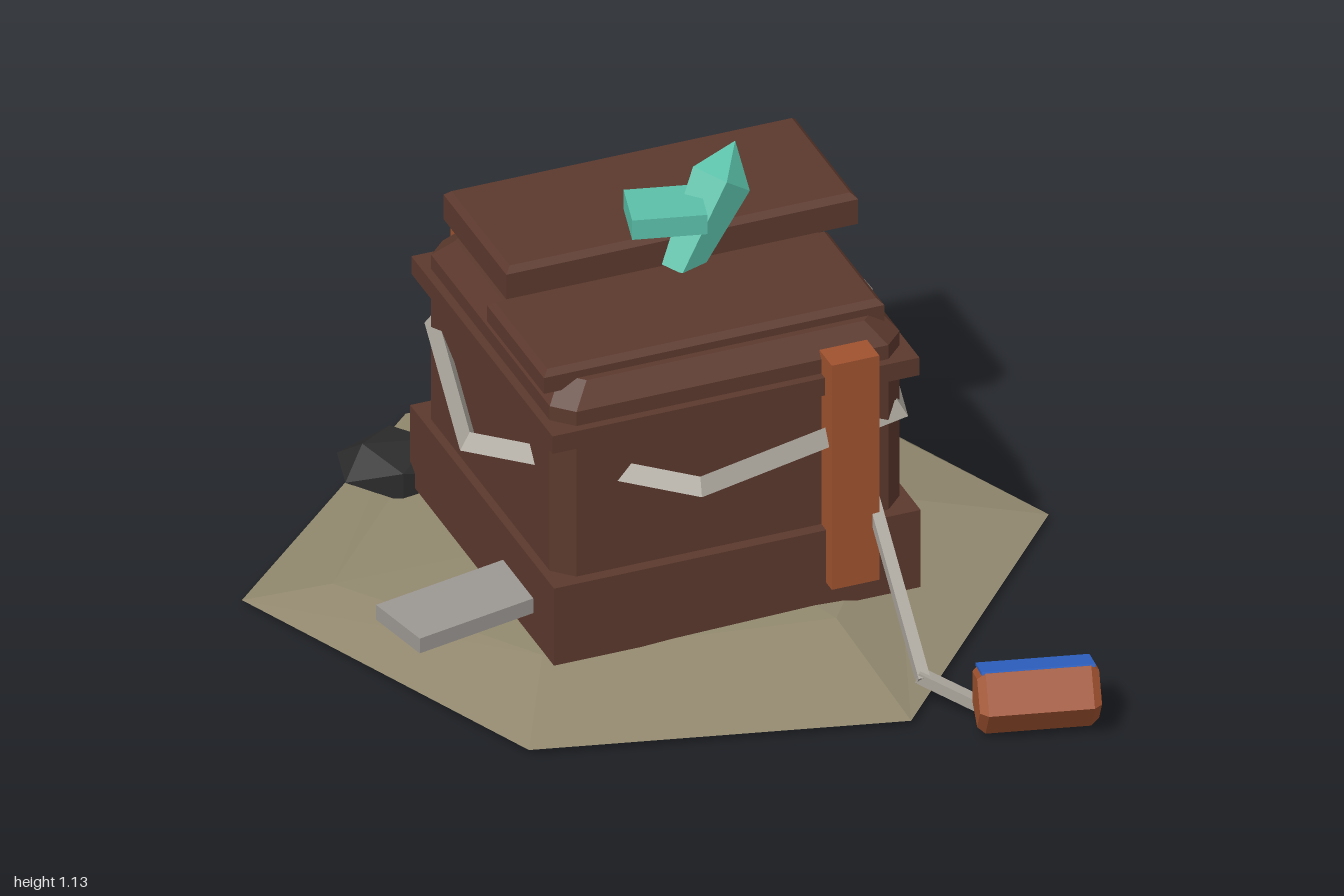
import * as THREE from 'three';

const mat = (name, color, extra = {}) => {
  const m = new THREE.MeshStandardMaterial({ color, flatShading: true, ...extra });
  m.name = name;
  return m;
};

// Stack of rectangular rings with cut corners; levels are [y, inset] from bottom to top
function loft(w, d, cut, levels) {
  const pos = [], idx = [];
  const ring = (inset) => {
    const x = w / 2 - inset, z = d / 2 - inset, c = cut;
    return c
      ? [[x - c, z], [x, z - c], [x, -z + c], [x - c, -z], [-x + c, -z], [-x, -z + c], [-x, z - c], [-x + c, z]]
      : [[x, z], [x, -z], [-x, -z], [-x, z]];
  };
  const n = cut ? 8 : 4;
  levels.forEach(([y, inset]) => ring(inset).forEach(([x, z]) => pos.push(x, y, z)));
  for (let k = 0; k < levels.length - 1; k++)
    for (let i = 0; i < n; i++) {
      const a = k * n + i, b = k * n + (i + 1) % n;
      idx.push(a, b, b + n, a, b + n, a + n);
    }
  const top = (levels.length - 1) * n;
  for (let i = 1; i < n - 1; i++) idx.push(0, i + 1, i, top, top + i, top + i + 1);
  return solid(pos, idx);
}

function solid(pos, idx) {
  const g = new THREE.BufferGeometry();
  g.setAttribute('position', new THREE.Float32BufferAttribute(pos, 3));
  g.setIndex(idx);
  return flat(g);
}

function flat(g) {
  const f = g.index ? g.toNonIndexed() : g;
  f.computeVertexNormals();
  return f;
}

const lathe = (pts, sides) => flat(new THREE.LatheGeometry(pts.map(([r, y]) => new THREE.Vector2(r, y)), sides));

// Mound: outer rim, raised inner ring and a peak, with a flat underside
function moundGeometry() {
  const rim = [[-1, -0.07], [-0.41, 0.72], [0.53, 0.72], [1, -0.18], [0.48, -0.87], [-0.48, -0.87]];
  const inner = [[-0.78, 0.06, -0.05], [-0.33, 0.09, 0.4], [0.4, 0.1, 0.35],
    [0.62, 0.09, -0.2], [0.4, 0.075, -0.86], [-0.38, 0.075, -0.79]];
  const pos = [], idx = [], n = 6;
  rim.forEach(([x, z]) => pos.push(x, 0.02, z));
  inner.forEach((p) => pos.push(...p));
  pos.push(0.05, 0.12, -0.15, 0, 0.02, 0);
  for (let i = 0; i < n; i++) {
    const j = (i + 1) % n;
    idx.push(i, j, n + j, i, n + j, n + i, n + i, n + j, 12, j, i, 13);
  }
  return solid(pos, idx);
}

export function createModel() {
  const model = new THREE.Group();
  model.name = 'chestOnMound';
  const wood = mat('darkWood', 0x5c392d);
  const orange = mat('rustOrange', 0xa0522f);
  const blue = mat('blue', 0x2f64c8);
  const strapGrey = mat('strapGrey', 0xaaa59c);
  const plankGrey = mat('plankGrey', 0x9c9792);
  const earth = mat('earth', 0x91886e, { side: THREE.DoubleSide });
  const coal = mat('coal', 0x2b2b2b);
  const teal = mat('teal', 0x5abfa8);

  const add = (parent, name, geo, material, x = 0, y = 0, z = 0) => {
    const m = new THREE.Mesh(geo, material);
    m.name = name;
    m.position.set(x, y, z);
    parent.add(m);
    return m;
  };
  const box = (w, h, d) => new THREE.BoxGeometry(w, h, d);
  const turn = 0.244;

  add(model, 'mound', moundGeometry(), earth);

  // Chest body, turned on the mound
  const chest = new THREE.Group();
  chest.name = 'chest';
  chest.position.set(0.047, 0, -0.11);
  chest.rotation.y = turn;
  model.add(chest);
  add(chest, 'plinth', loft(0.964, 0.922, 0, [[0.09, 0], [0.31, 0]]), wood);
  add(chest, 'body', loft(0.92, 0.86, 0.05, [[0.3, 0], [0.78, 0], [0.835, 0.045]]), wood);
  add(chest, 'band', loft(0.965, 0.905, 0, [[0.69, 0], [0.74, 0]]), wood);

  // Lid slabs, posts and back panel share the turn of the chest
  const turned = (...args) => { add(model, ...args).rotation.y = turn; };
  turned('frontLid', loft(0.895, 0.364, 0, [[0.81, 0], [0.855, 0], [0.87, 0.015]]), wood, 0.07, 0, 0.075);
  turned('backLid', loft(0.925, 0.403, 0, [[0.835, 0], [0.905, 0], [0.92, 0.015]]), wood, 0.047, 0, -0.355);
  turned('frontPost', box(0.125, 0.64, 0.08), orange, 0.445, 0.48, 0.262);
  turned('backPost', box(0.125, 0.64, 0.08), orange, -0.35, 0.48, -0.505);
  turned('backPanel', box(0.37, 0.18, 0.05), blue, 0.055, 0.66, -0.605);
  turned('backRail', box(0.43, 0.05, 0.07), orange, 0.05, 0.71, -0.605);

  // Six-sided strap around the chest
  const strap = add(model, 'strap',
    lathe([[0.6, 0], [0.572, 0.042], [0.55, 0], [0.6, 0]], 6), strapGrey, 0.05, 0.558, -0.115);
  strap.scale.x = 1.06;

  // Plank at the side
  add(model, 'plank', box(0.46, 0.042, 0.19), plankGrey, -0.476, 0.186, 0.285).rotation.y = 0.45;

  // Coal lump
  add(model, 'coalLump', new THREE.IcosahedronGeometry(1, 0), coal, -0.555, 0.1, -0.515)
    .scale.set(0.16, 0.075, 0.135);

  // Crystal on the lid, leaning back
  const base = new THREE.Vector3(0.075, 0.85, -0.095), tip = new THREE.Vector3(0.235, 1.13, -0.222);
  const axis = tip.clone().sub(base), len = axis.length();
  const crystal = add(model, 'crystal',
    lathe([[0, 0], [0.05, 0], [0.082, len * 0.72], [0, len]], 5), teal, ...base.toArray());
  crystal.quaternion.setFromUnitVectors(new THREE.Vector3(0, 1, 0), axis.normalize());
  add(model, 'crystalBlock', box(0.185, 0.055, 0.145), teal, 0.048, 1.008, -0.115);

  // Bent arm reaching to the lantern
  const path = [[0.5, 0.385, 0.215], [0.57, 0.09, 0.635], [0.74, 0.022, 0.715]].map((p) => new THREE.Vector3(...p));
  for (let i = 0; i < 2; i++) {
    const dir = path[i + 1].clone().sub(path[i]);
    const mid = path[i].clone().addScaledVector(dir, 0.5);
    const bar = add(model, 'armBar', box(0.03, 0.03, dir.length() + 0.02), strapGrey, ...mid.toArray());
    bar.lookAt(path[i + 1]);
  }

  // Five-sided lantern with one blue face
  const lantern = new THREE.Group();
  lantern.name = 'lantern';
  lantern.position.set(0.83, 0.107, 0.78);
  model.add(lantern);
  add(lantern, 'lanternBody',
    lathe([[0, -0.15], [0.072, -0.15], [0.09, -0.13], [0.09, 0.13], [0.072, 0.15], [0, 0.15]], 5), orange)
    .rotation.z = -Math.PI / 2;
  const face = THREE.MathUtils.degToRad(108);
  add(lantern, 'lanternFace', box(0.28, 0.104, 0.008), blue, 0, Math.sin(face) * 0.073, Math.cos(face) * 0.073)
    .rotation.x = -face;

  return model;
}
